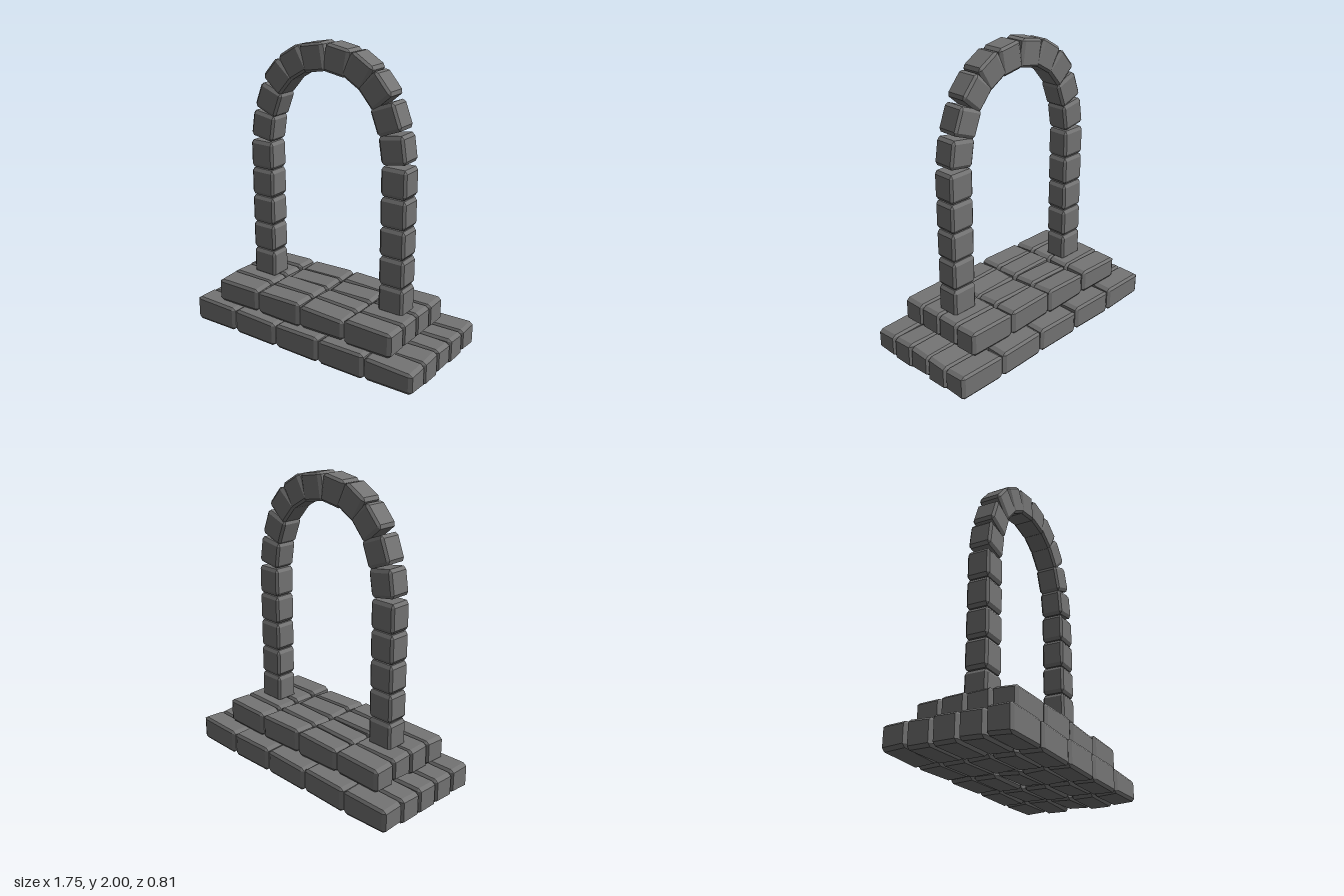
import * as THREE from 'three';
import { ConvexGeometry } from 'three/addons/geometries/ConvexGeometry.js';

const material = new THREE.MeshStandardMaterial({ color: 0x747474, flatShading: true });

// Small seeded generator for the hand-cut look of the paving
let seed = 7;
const random = () => (seed = (seed * 16807) % 2147483647) / 2147483647;

// Chamfered stone; bevel holds the inset along x, y and z, wear slopes top and bottom
function stone(name, w, h, d, bevel, wear = 0) {
  const tilt = [0, 1].map(() => ({ x: (random() - 0.5) * wear, z: (random() - 0.5) * wear }));
  const points = [];
  for (const sx of [-1, 1]) for (const sy of [-1, 1]) for (const sz of [-1, 1]) {
    const t = tilt[sy > 0 ? 1 : 0];
    for (let axis = 0; axis < 3; axis++) {
      const [bx, by, bz] = bevel.map((b, i) => (i === axis ? 0 : b));
      const p = new THREE.Vector3(sx * (w / 2 - bx), sy * (h / 2 - by), sz * (d / 2 - bz));
      // The highest corner keeps the full height, the others sink inwards
      const sink = Math.abs(t.x) + Math.abs(t.z) + t.x * p.x / (w / 2) + t.z * p.z / (d / 2);
      p.y -= sy * sink;
      points.push(p);
    }
  }
  const mesh = new THREE.Mesh(new ConvexGeometry(points), material);
  mesh.name = name;
  return mesh;
}

// One tier of paving stones laid in a grid
function step(name, columns, rows, cx, cy, cz) {
  const tier = new THREE.Group();
  tier.name = name;
  for (let i = 0; i < columns; i++) for (let j = 0; j < rows; j++) {
    const block = stone('pavingStone', 0.346, 0.176, 0.157, [0.025, 0.018, 0.013], 0.012);
    block.position.set((i - (columns - 1) / 2) * 0.352, 0, (j - (rows - 1) / 2) * 0.162);
    tier.add(block);
  }
  tier.position.set(cx, cy, cz);
  return tier;
}

export function createModel() {
  seed = 7;
  const model = new THREE.Group();
  model.name = 'stoneArch';

  // Two-tier base
  model.add(step('lowerStep', 5, 5, 0, 0.088, 0));
  model.add(step('upperStep', 4, 4, -0.014, 0.256, 0.022));

  // Centre x, centre y and lean in degrees of the arch stones on one side
  const archStones = [
    [0.502, 1.406, 9],
    [0.451, 1.588, 21],
    [0.367, 1.75, 41],
    [0.241, 1.855, 59],
    [0.088, 1.903, 80],
  ];
  const bevel = [0.016, 0.022, 0.014];

  // The arch stands slightly off the middle of the base
  const gate = new THREE.Group();
  gate.name = 'archway';
  gate.position.set(0.004, 0, 0.015);
  model.add(gate);

  for (const side of [-1, 1]) {
    const label = side > 0 ? 'left' : 'right';

    // Upright pillar
    const pillar = new THREE.Group();
    pillar.name = label + 'Pillar';
    for (let i = 0; i < 5; i++) {
      const block = stone('pillarStone', 0.183, 0.19, 0.154, bevel);
      block.position.set(side * 0.517, 0.415 + i * 0.197, 0);
      pillar.add(block);
    }
    gate.add(pillar);

    // Half of the curved top
    const arch = new THREE.Group();
    arch.name = label + 'ArchHalf';
    for (const [x, y, lean] of archStones) {
      const block = stone('archStone', 0.179, 0.179, 0.154, bevel);
      block.position.set(side * x, y, 0);
      block.rotation.z = side * THREE.MathUtils.degToRad(lean);
      arch.add(block);
    }
    gate.add(arch);
  }
  return model;
}
